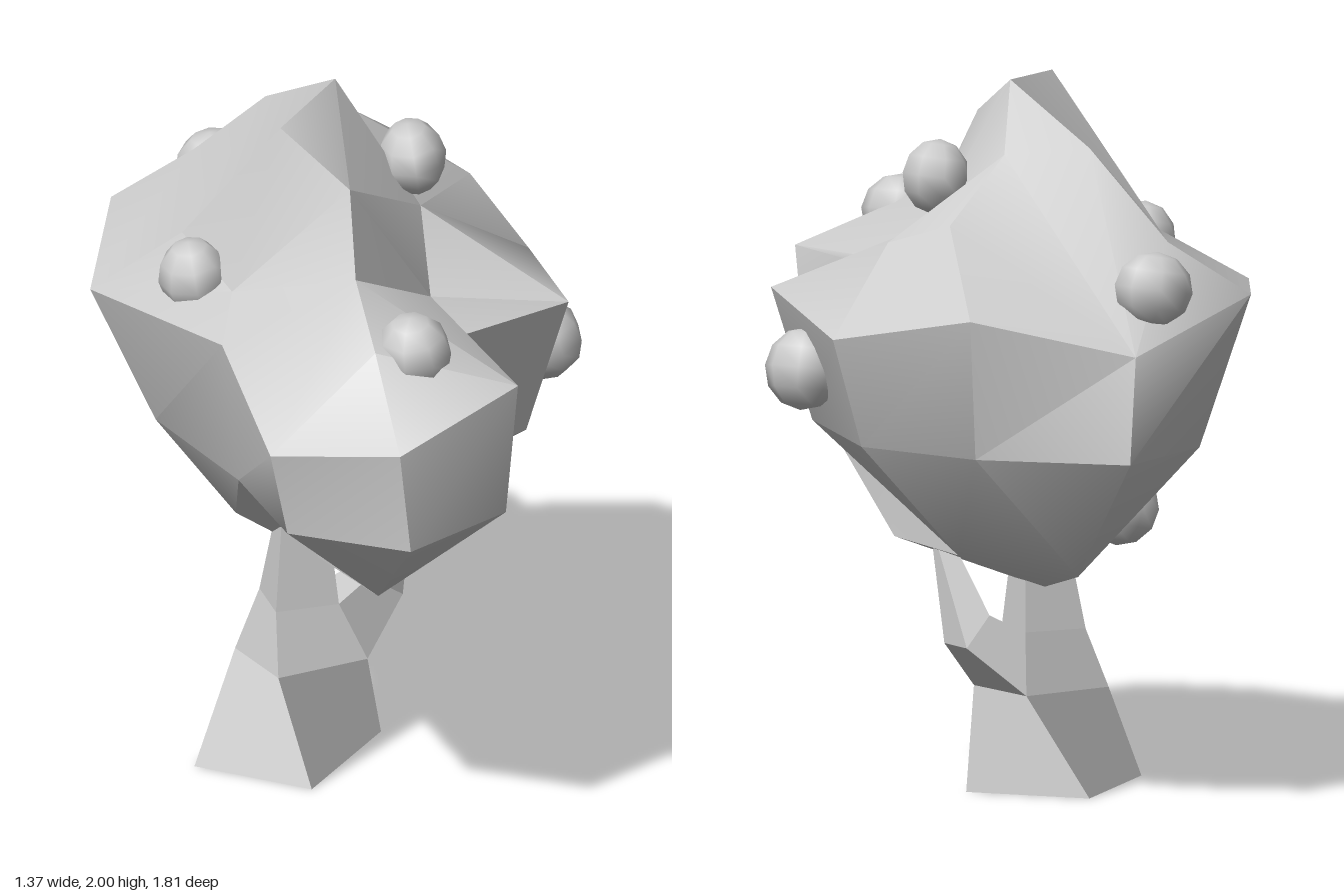
import * as THREE from 'three';
import { toCreasedNormals } from 'three/addons/utils/BufferGeometryUtils.js';

const material = new THREE.MeshStandardMaterial({ color: 0xcccccc });

// Geometry from a list of triangles (each three [x, y, z] points)
function geometryFrom(triangles) {
  const geometry = new THREE.BufferGeometry();
  geometry.setAttribute('position', new THREE.Float32BufferAttribute(triangles.flat(2), 3));
  return geometry;
}

function namedMesh(name, geometry) {
  const mesh = new THREE.Mesh(geometry, material);
  mesh.name = name;
  return mesh;
}

// Quads between two closed loops, counter-clockwise seen from the upper end
function band(lower, upper) {
  return lower.map((a, i) => {
    const j = (i + 1) % lower.length;
    return [a, lower[j], upper[j], upper[i]];
  });
}

const split = ([a, b, c, d]) => [[a, b, c], [a, c, d]];

// Four-sided limb through a list of sections, capped at both ends, one flat shade per quad
function limb(name, sections) {
  const quads = [[...sections[0]].reverse(), sections[sections.length - 1]];
  for (let i = 0; i + 1 < sections.length; i++) quads.push(...band(sections[i], sections[i + 1]));
  const geometry = geometryFrom(quads.flatMap(split));
  const normals = quads.flatMap((quad) => {
    const [a, b, c, d] = quad.map((v) => new THREE.Vector3(...v));
    const n = c.sub(a).cross(d.sub(b)).normalize().toArray();
    return Array(6).fill(n).flat();
  });
  geometry.setAttribute('normal', new THREE.Float32BufferAttribute(normals, 3));
  return namedMesh(name, geometry);
}

function buildCrown() {
  // Rim, waist and underside loops, starting at the front and going round by +x
  const rim = [
    [0.08, 1.31, 0.9], [0.43, 1.42, 0.69], [0.32, 1.42, 0.32], [0.63, 1.4, 0.08],
    [0.57, 1.33, -0.46], [0.25, 1.42, -0.79], [-0.2, 1.32, -0.89], [-0.58, 1.45, -0.65],
    [-0.69, 1.41, -0.11], [-0.37, 1.45, 0.4], [-0.27, 1.27, 0.77],
  ];
  const waist = [
    [0.11, 0.9], [0.4, 0.65], [0.28, 0.27], [0.51, 0.09], [0.48, -0.42], [0.22, -0.72],
    [-0.18, -0.91], [-0.44, -0.62], [-0.51, -0.08], [-0.32, 0.36], [-0.22, 0.74],
  ].map(([x, z]) => [x, 1.02, z]);
  const front = [0.06, 0.7, 0.47], right = [0.27, 0.68, 0.12], notch = [0.17, 0.68, -0.26];
  const back = [-0.1, 0.66, -0.59], side = [-0.28, 0.7, -0.14], inner = [-0.03, 0.7, 0.08];
  const under = [front, right, notch, notch, notch, back, back, back, side, inner, front];
  const keel = [-0.09, 0.57, -0.18];

  // Hilltop points
  const p = {
    peak: [0, 2, -0.16], ridge: [-0.18, 1.98, 0.12], brow: [0, 1.85, 0.27], nose: [0, 1.65, 0.44],
    bridge: [0.03, 1.54, 0.7], dent: [-0.32, 1.51, 0.17], ledge: [-0.43, 1.56, -0.14],
    crest: [-0.17, 1.84, -0.42], rear: [-0.35, 1.6, -0.62], nape: [0.06, 1.82, -0.36],
    cheek: [0.4, 1.59, -0.4], hump: [0.25, 1.65, -0.52], dip: [0.24, 1.6, -0.17],
    fold: [0.24, 1.45, 0.12],
  };
  rim.forEach((v, i) => { p[i] = v; });
  const top = [
    'nose bridge 1', 'bridge 0 1', 'nose 10 bridge', '10 0 bridge', 'nose 9 10', 'nose dent 9',
    'nose 1 fold', '1 2 fold', '2 3 fold', 'fold 3 dip', '3 4 dip', 'dip 4 cheek',
    'dip cheek nape', 'cheek hump nape', 'cheek 4 hump', '4 5 hump', 'hump 5 6', 'nape hump 6',
    '6 7 rear', 'nape 6 crest', 'crest 6 rear', 'peak nape crest', 'peak crest ledge',
    'crest rear ledge', 'rear 7 8', 'rear 8 ledge', 'peak ledge ridge', 'ledge 8 dent', '8 9 dent',
    'ridge ledge dent', 'ridge dent brow', 'brow dent nose', 'peak ridge brow', 'peak brow dip',
    'peak dip nape', 'brow nose fold', 'brow fold dip',
  ].map((row) => {
    const [a, b, c] = row.split(' ').map((key) => p[key]);
    // Turn every hilltop face upwards
    const up = (b[2] - a[2]) * (c[0] - a[0]) - (b[0] - a[0]) * (c[2] - a[2]);
    return up > 0 ? [a, b, c] : [a, c, b];
  });

  const bottom = under.map((v, i) => [keel, under[(i + 1) % under.length], v]);
  const walls = [...band(under, waist), ...band(waist, rim)].flatMap(split);
  // Drop triangles collapsed where underside corners are shared
  const solid = [...walls, ...top, ...bottom].filter(([a, b, c]) => a !== b && b !== c && c !== a);
  return namedMesh('crown', toCreasedNormals(geometryFrom(solid), 0.65));
}

export function createModel() {
  const tree = new THREE.Group();
  tree.name = 'tree';

  tree.add(limb('trunk', [
    [[-0.1, 0, 0.2], [0.13, 0, -0.18], [-0.18, 0, -0.37], [-0.41, 0, 0.01]],
    [[-0.18, 0.28, 0.06], [0.08, 0.28, -0.05], [-0.02, 0.28, -0.28], [-0.28, 0.28, -0.16]],
    [[-0.18, 0.45, -0.01], [0, 0.45, -0.05], [-0.03, 0.45, -0.22], [-0.21, 0.45, -0.18]],
    [[-0.16, 0.71, -0.05], [-0.03, 0.71, -0.06], [-0.04, 0.71, -0.18], [-0.16, 0.71, -0.17]],
  ]));

  tree.add(limb('branch', [
    [[0.08, 0.28, -0.05], [-0.02, 0.28, -0.28], [-0.03, 0.45, -0.22], [0, 0.45, -0.05]],
    [[0.19, 0.42, -0.17], [0.15, 0.42, -0.28], [0.07, 0.5, -0.21], [0.09, 0.5, -0.11]],
    [[0.2, 0.71, -0.04], [0.2, 0.71, -0.09], [0.16, 0.71, -0.11], [0.16, 0.71, -0.06]],
  ]));

  tree.add(buildCrown());

  // Slightly squashed fruits half sunk into the crown: position, then radii
  const fruitGeometry = new THREE.SphereGeometry(1, 8, 6);
  [
    [[-0.415, 1.505, 0.04], [0.1, 0.11, 0.11]],
    [[0.145, 1.515, 0.63], [0.105, 0.105, 0.115]],
    [[0.22, 1.74, -0.195], [0.095, 0.105, 0.118]],
    [[0.58, 1.2, -0.13], [0.11, 0.116, 0.115]],
    [[-0.28, 1.49, -0.755], [0.112, 0.105, 0.1]],
    [[-0.27, 0.82, -0.36], [0.11, 0.11, 0.11]],
  ].forEach(([position, radii], i) => {
    const fruit = namedMesh(`fruit${i + 1}`, fruitGeometry);
    fruit.position.set(...position);
    fruit.scale.set(...radii);
    fruit.rotation.set(0.1, 0.4 * (i % 2), 0.15);
    tree.add(fruit);
  });

  return tree;
}
